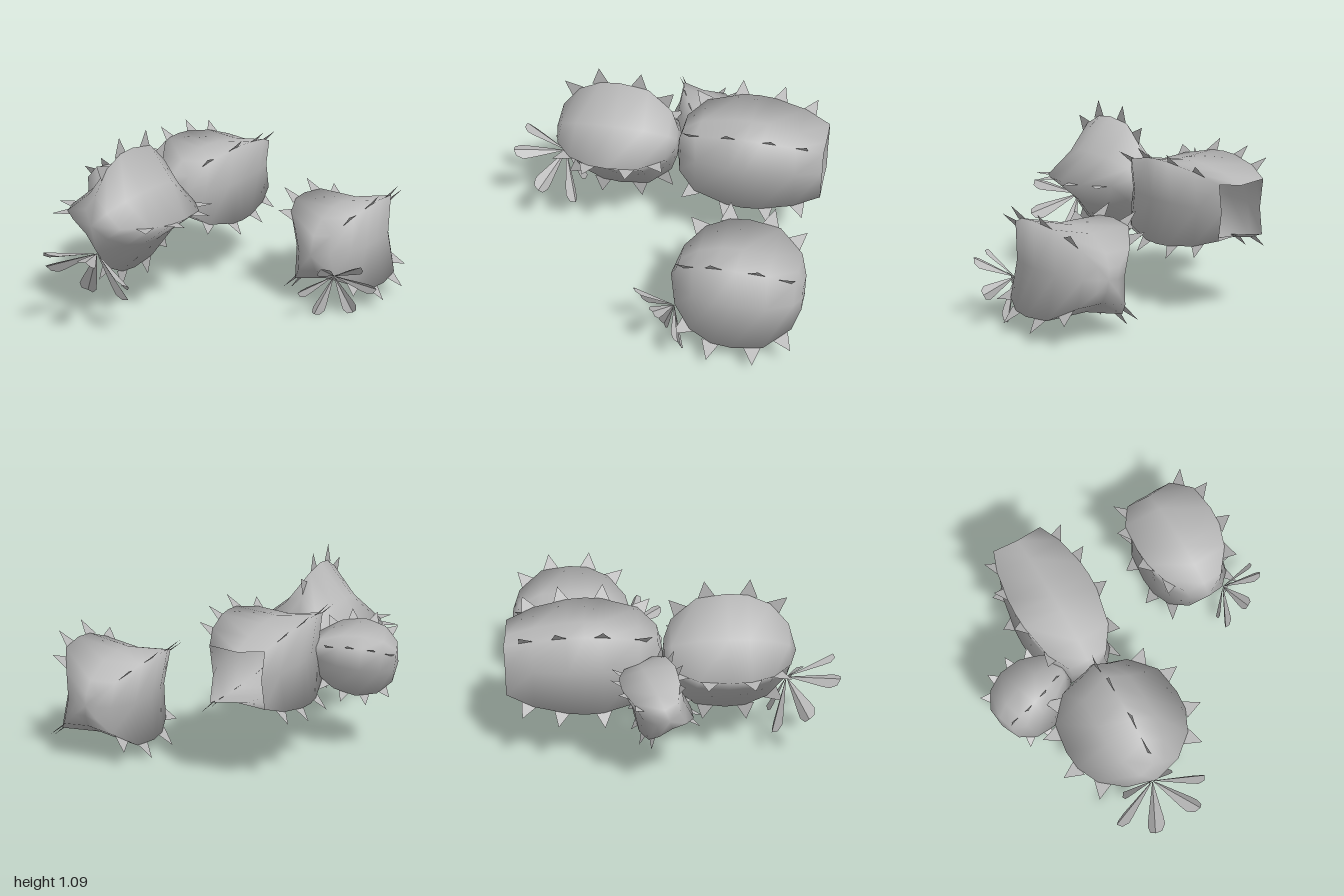
import * as THREE from 'three';
import { mergeVertices } from 'three/addons/utils/BufferGeometryUtils.js';

const skin = new THREE.MeshStandardMaterial({ color: 0xb8b8b8, side: THREE.DoubleSide });
skin.name = 'plain grey';

const VALLEY = 0.62; // valley radius relative to ridge radius

// Smooth four-ridged body along z; profile is [z, ridge radius] from back to front
function bodyGeometry(profile) {
  let geo = new THREE.LatheGeometry(profile.map(([z, r]) => new THREE.Vector2(r, z)), 8);
  const pos = geo.attributes.position;
  for (let i = 0; i < pos.count; i++) {
    const column = Math.floor(i / profile.length);
    if (column % 2) pos.setXYZ(i, pos.getX(i) * VALLEY, pos.getY(i), pos.getZ(i) * VALLEY);
  }
  geo.deleteAttribute('normal');
  geo.deleteAttribute('uv');
  geo = mergeVertices(geo, 1e-4);
  geo.rotateX(Math.PI / 2);
  geo.computeVertexNormals();
  return geo;
}

// Flat triangular thorn standing on the ridge at axial position z
function thornGeometry(profile, z, size) {
  let k = 0;
  while (k < profile.length - 2 && profile[k + 1][0] < z) k++;
  const a = new THREE.Vector2(...profile[k]);
  const b = new THREE.Vector2(...profile[k + 1]);
  const t = b.clone().sub(a).normalize();
  const n = new THREE.Vector2(-t.y, t.x);
  const base = a.clone().lerp(b, (z - a.x) / (b.x - a.x)).addScaledVector(n, -0.012);
  const corners = [
    base.clone().addScaledVector(t, -0.55 * size),
    base.clone().addScaledVector(t, 0.55 * size),
    base.clone().addScaledVector(n, size + 0.012),
  ];
  const geo = new THREE.BufferGeometry().setFromPoints(corners.map((c) => new THREE.Vector3(0, c.y, c.x)));
  geo.computeVertexNormals();
  return geo;
}

// Body with rows of thorns on all four ridges
function createPad(name, profile, thorns, thornSize) {
  const pad = new THREE.Group();
  pad.name = name;
  const body = new THREE.Mesh(bodyGeometry(profile), skin);
  body.name = 'ribbedBody';
  pad.add(body);
  for (const z of thorns) {
    const geo = thornGeometry(profile, z, thornSize);
    for (let i = 0; i < 4; i++) {
      const thorn = new THREE.Mesh(geo, skin);
      thorn.name = 'thorn';
      thorn.rotation.z = (i * Math.PI) / 2;
      pad.add(thorn);
    }
  }
  return pad;
}

// Creased petal fanned out from its narrow base
function petalGeometry() {
  const half = [[0.047, 0.23], [0.054, 0.28], [0.036, 0.325]];
  const rim = [...half, [0, 0.34], ...half.map(([x, y]) => [-x, y]).reverse()]
    .map(([x, y]) => new THREE.Vector3(x, y, -Math.abs(x) * 0.45));
  const points = [];
  for (let i = 0; i < rim.length - 1; i++) points.push(new THREE.Vector3(), rim[i], rim[i + 1]);
  const geo = new THREE.BufferGeometry().setFromPoints(points);
  geo.computeVertexNormals();
  return geo;
}

// Six cupped petals around local y
function createFlower(scale) {
  const flower = new THREE.Group();
  flower.name = 'flower';
  const geo = petalGeometry();
  for (let i = 0; i < 6; i++) {
    const petal = new THREE.Mesh(geo, skin);
    petal.name = 'petal';
    petal.rotation.set(1.107, Math.PI / 6 + (i * Math.PI) / 3, 0, 'YXZ');
    flower.add(petal);
  }
  flower.position.set(0, -0.18, 0.34);
  flower.rotation.x = 2.406;
  flower.scale.setScalar(scale);
  return flower;
}

export function createModel() {
  const model = new THREE.Group();
  model.name = 'cactus';

  const roundProfile = [[-0.39, 0], [-0.385, 0.1], [-0.345, 0.22], [-0.2, 0.35], [-0.02, 0.376],
    [0.1, 0.365], [0.23, 0.305], [0.34, 0.175], [0.39, 0]];
  const roundThorns = [-0.29, -0.14, 0.1, 0.25];

  // Front pad with its flower
  const front = createPad('frontPad', roundProfile, roundThorns, 0.1);
  front.position.set(-0.33, 0.645, 0.34);
  front.add(createFlower(1));

  // Separate pad on the left, rolled around its axis
  const side = createPad('detachedPad', roundProfile, roundThorns, 0.1);
  side.position.set(0.595, 0.373, -0.59);
  side.rotation.z = THREE.MathUtils.degToRad(50);
  side.add(createFlower(0.78));

  // Long back pad with an open rear end
  const backProfile = [[-0.46, 0.227], [-0.3, 0.302], [-0.1, 0.347], [0, 0.354], [0.1, 0.347],
    [0.31, 0.287], [0.42, 0.177], [0.455, 0]];
  const back = createPad('backPad', backProfile, [-0.33, -0.14, 0.1, 0.32], 0.09);
  back.position.set(-0.33, 0.64, -0.5);
  back.rotation.z = Math.PI / 4;

  // Small teardrop pad budding from the back pad
  const budProfile = [[-0.3, 0], [-0.2, 0.125], [-0.08, 0.205], [0.05, 0.23], [0.17, 0.2],
    [0.25, 0.12], [0.27, 0]];
  const bud = createPad('smallPad', budProfile, [-0.13, -0.02, 0.1, 0.2], 0.062);
  bud.position.set(-0.69, 0.583, -0.115);
  bud.lookAt(-0.69 - 0.53, 0.583 - 0.06, -0.115 + 0.16);
  bud.rotateZ(-0.45);

  model.add(front, side, back, bud);
  return model;
}
